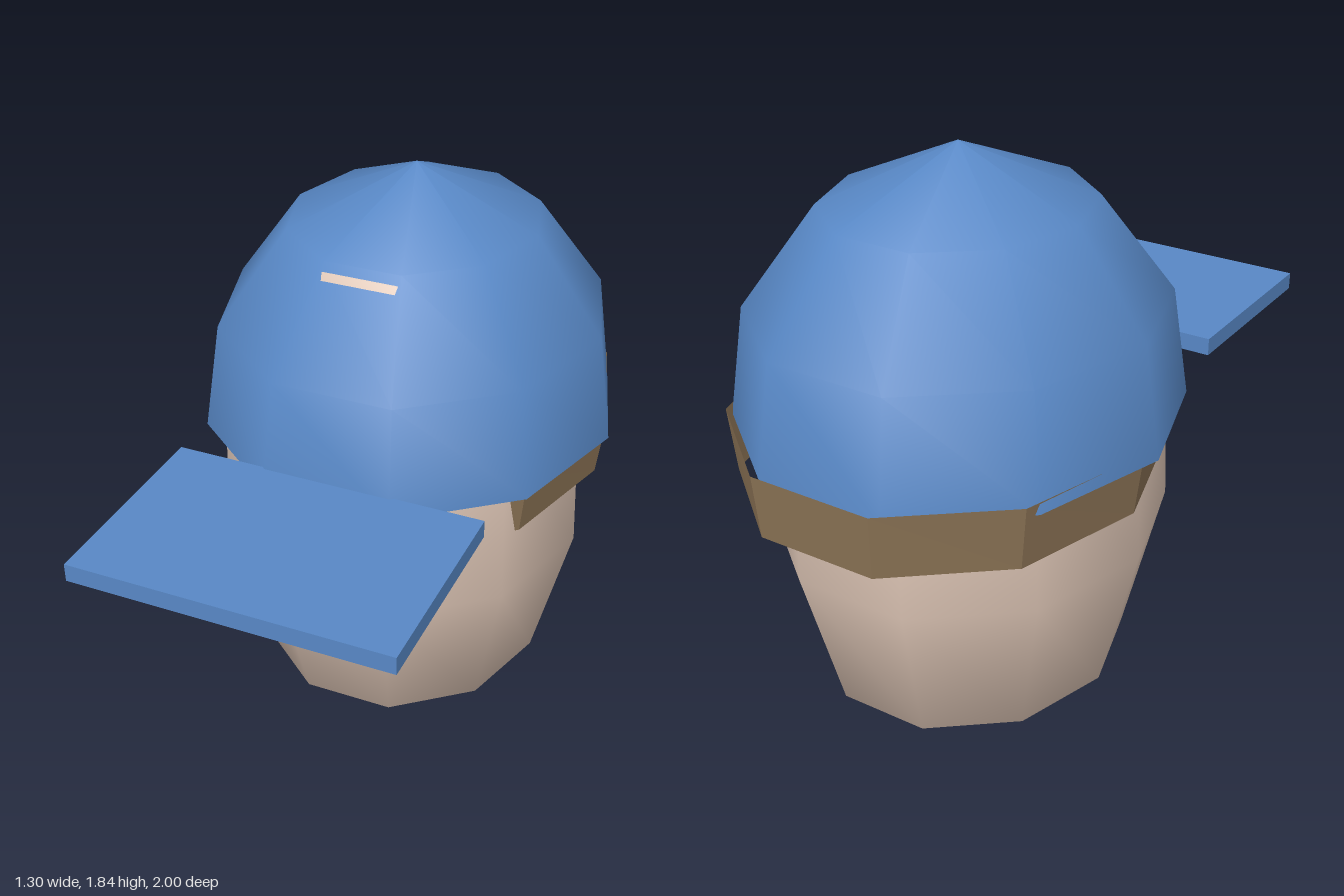
import * as THREE from 'three';

const SIDES = 10;
const SKIN = 0xdcc4b4, BLUE = 0x5888c6, BROWN = 0x8b7355;

function addMesh(group, name, geometry, color, options = {}) {
  const mesh = new THREE.Mesh(geometry, new THREE.MeshStandardMaterial({ color, ...options }));
  mesh.name = name;
  group.add(mesh);
  return mesh;
}

// Ten-sided turned form, stretched front to back
function turned(profile, depth, z) {
  const points = profile.map(([r, y]) => new THREE.Vector2(r, y));
  return new THREE.LatheGeometry(points, SIDES, Math.PI / 2).scale(1, 1, depth).translate(0, 0, z);
}

// Flat ten-sided underside
function underside(r, depth, y, z) {
  return new THREE.CircleGeometry(r, SIDES).rotateX(Math.PI / 2).scale(1, 1, depth).translate(0, y, z);
}

// Open band around the back of the head: a leaning strip between two rings
function hairBand() {
  const rings = [
    { y: 0.88, rx: 0.605, rz: 0.684, end: 0.05 },
    { y: 1.075, rx: 0.63, rz: 0.7, end: 0.18 },
  ];
  const centre = -0.332, positions = [], index = [];
  for (const { y, rx, rz, end } of rings) {
    const corner = (k) => new THREE.Vector3(
      rx * Math.cos(k * Math.PI / 5), y, centre + rz * Math.sin(k * Math.PI / 5));
    const row = [corner(1).lerp(corner(2), end)];
    for (let k = 1; k >= -6; k--) row.push(corner(k));
    row.push(corner(-6).lerp(corner(-7), end));
    row.forEach((p) => positions.push(p.x, p.y, p.z));
  }
  const n = positions.length / 6;
  for (let i = 0; i < n - 1; i++) index.push(i, i + 1, n + i, i + 1, n + i + 1, n + i);
  const geometry = new THREE.BufferGeometry();
  geometry.setAttribute('position', new THREE.Float32BufferAttribute(positions, 3));
  geometry.setIndex(index);
  geometry.computeVertexNormals();
  return geometry;
}

export function createModel() {
  const model = new THREE.Group();
  model.name = 'cappedHead';

  // Head, narrowing to a flat chin
  const head = [[0.222, 0], [0.46, 0.19], [0.58, 0.67], [0.56, 1.2], [0.357, 1.645], [0, 1.66]];
  addMesh(model, 'head', turned(head, 1.115, -0.24), SKIN);
  addMesh(model, 'chinBase', underside(0.222, 1.115, 0, -0.24), SKIN);

  // Cap dome and its underside
  const dome = [[0.65, 1.04], [0.6, 1.375], [0.385, 1.67], [0, 1.84]];
  addMesh(model, 'capDome', turned(dome, 1.09, -0.285), BLUE);
  addMesh(model, 'capUnderside', underside(0.65, 1.09, 1.04, -0.285), BLUE);

  // Flat brim
  addMesh(model, 'capBrim', new THREE.BoxGeometry(0.96, 0.055, 0.63), BLUE).position.set(0, 1.078, 0.685);

  // Hair around the sides and back
  addMesh(model, 'hairBand', hairBand(), BROWN, { flatShading: true, side: THREE.DoubleSide });

  return model;
}
